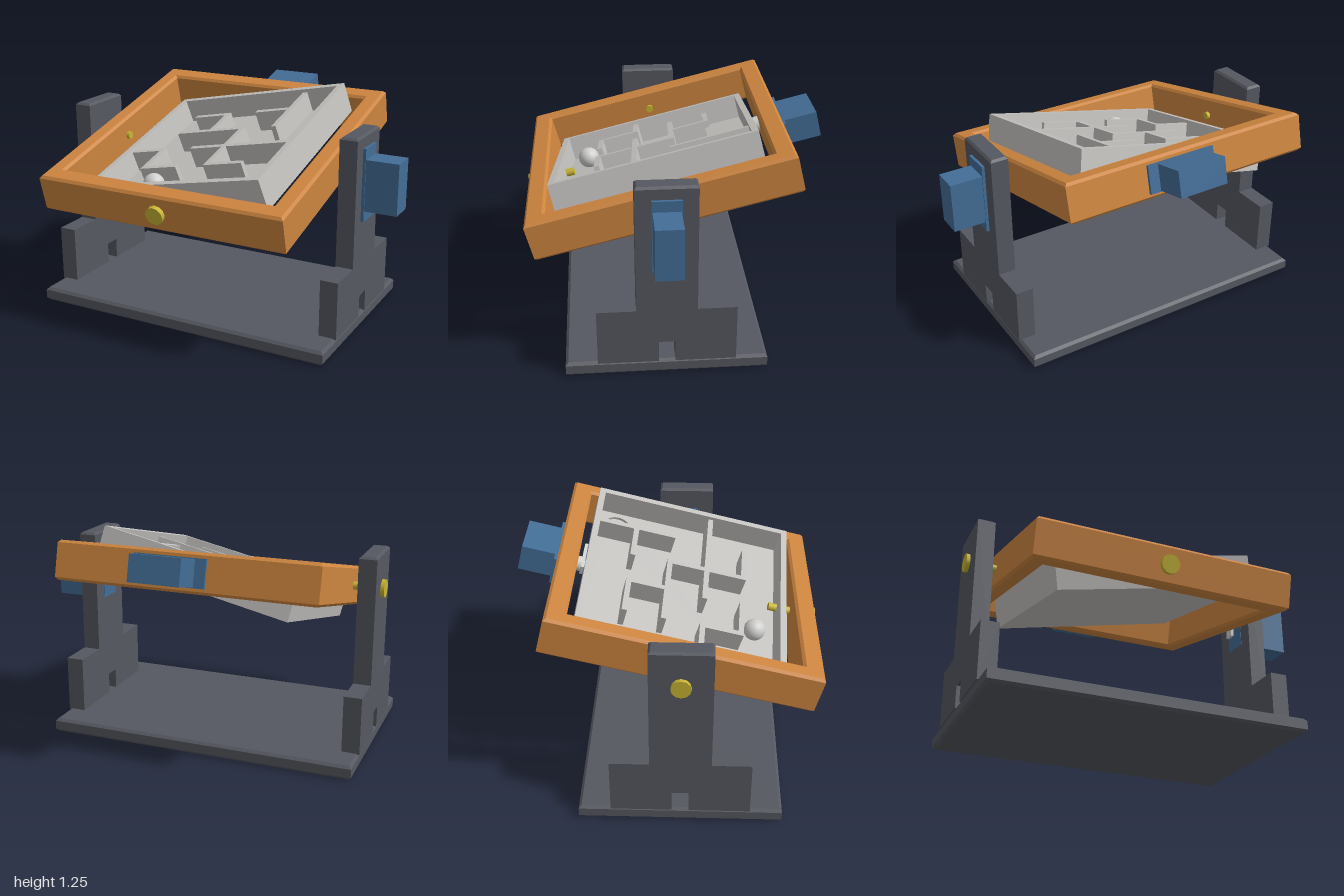
import * as THREE from 'three';

const mat = (name, color) => Object.assign(new THREE.MeshStandardMaterial({ color }), { name });

const CX = -0.0875, CY = 0.915, CZ = 0.0875; // gimbal centre

export function createModel() {
  const charcoal = mat('charcoal', 0x555860);
  const orange = mat('orange', 0xcd853f);
  const grey = mat('lightGrey', 0xc4c2bf);
  const blue = mat('blue', 0x436d96);
  const brass = mat('brass', 0xc8b432);
  const steel = mat('steel', 0xcfcfcd);
  const model = new THREE.Group();

  const add = (parent, name, geo, material, x = 0, y = 0, z = 0) => {
    const m = new THREE.Mesh(geo, material);
    m.name = name;
    m.position.set(x, y, z);
    parent.add(m);
    return m;
  };
  const group = (parent, name) => {
    const g = new THREE.Group();
    g.name = name;
    parent.add(g);
    return g;
  };
  const box = (w, h, d) => new THREE.BoxGeometry(w, h, d);
  const rect = (hw, hd, Type = THREE.Shape) => new Type([
    new THREE.Vector2(-hw, -hd), new THREE.Vector2(hw, -hd),
    new THREE.Vector2(hw, hd), new THREE.Vector2(-hw, hd)]);

  // Chamfered slab lying flat, with an optional rectangular opening
  const slab = (w, h, d, b, hole) => {
    const s = rect(w / 2 - b, d / 2 - b);
    if (hole) s.holes.push(rect(hole[0] / 2 + b, hole[1] / 2 + b, THREE.Path));
    return new THREE.ExtrudeGeometry(s, {
      depth: h - 2 * b, bevelEnabled: true, bevelSize: b, bevelThickness: b, bevelSegments: 1,
    }).rotateX(-Math.PI / 2).center();
  };
  // Cylinder along the z axis
  const rod = (r, len, sides = 20) => new THREE.CylinderGeometry(r, r, len, sides).rotateX(Math.PI / 2);

  // Base plate
  add(model, 'basePlate', slab(1.775, 0.08, 1.09, 0.015), charcoal, -0.09, 0.04, CZ);

  // Two uprights: a wide foot with a cable slot and a tall column
  const foot = new THREE.Shape();
  [[-0.372, 0.075], [-0.045, 0.075], [-0.045, 0.2], [0.045, 0.2], [0.045, 0.075],
    [0.372, 0.075], [0.372, 0.4], [-0.372, 0.4]]
    .forEach(([x, y], i) => (i ? foot.lineTo(x, y) : foot.moveTo(x, y)));
  const footGeo = new THREE.ExtrudeGeometry(foot, { depth: 0.1, bevelEnabled: false })
    .translate(0, 0, -0.05).rotateY(Math.PI / 2);
  for (const [side, x] of [['right', -0.93], ['left', 0.75]]) {
    const upright = group(model, side + 'Upright');
    add(upright, 'foot', footGeo, charcoal, x, 0, CZ);
    add(upright, 'column', slab(0.1, 0.76, 0.324, 0.012), charcoal, x, 0.74, CZ);
  }

  // Servo: built with its shaft along +z and its body offset along +x
  const servo = (parent, name) => {
    const g = group(parent, name);
    add(g, 'servoBody', box(0.285, 0.145, 0.3), blue, 0.068, 0, -0.05);
    add(g, 'servoFlange', box(0.405, 0.155, 0.018), blue, 0.068, 0, -0.009);
    return g;
  };
  const horn = (parent) => {
    const g = group(parent, 'servoHorn');
    add(g, 'hornArm', box(0.19, 0.055, 0.018), steel, 0.045, 0, 0);
    add(g, 'hornHub', rod(0.042, 0.03), steel, 0, 0, -0.018);
    add(g, 'hornShaft', rod(0.025, 0.12), steel, 0, 0, -0.04);
    return g;
  };
  // Pivot bolt: head at the origin, shaft running along -z
  const bolt = (parent, name, len) => {
    const g = group(parent, name);
    add(g, 'boltHead', rod(0.052, 0.026, 12), brass, 0, 0, 0.013);
    add(g, 'boltShaft', rod(0.022, len), brass, 0, 0, -len / 2);
    return g;
  };

  // Outer pivot hardware on the uprights
  const sideServo = servo(model, 'sideServo');
  sideServo.position.set(0.798, CY, CZ);
  sideServo.rotation.set(0, -Math.PI / 2, -Math.PI / 2, 'ZYX');
  sideServo.matrixAutoUpdate = true;
  // Local x points down, local z points inward
  const inward = new THREE.Matrix4().makeBasis(
    new THREE.Vector3(0, -1, 0), new THREE.Vector3(0, 0, 1), new THREE.Vector3(-1, 0, 0));
  sideServo.quaternion.setFromRotationMatrix(inward);
  const sideHorn = horn(model);
  sideHorn.position.set(0.667, CY, CZ);
  sideHorn.quaternion.copy(sideServo.quaternion);
  const sideBolt = bolt(model, 'sideBolt', 0.27);
  sideBolt.position.set(-0.975, CY, CZ);
  sideBolt.rotation.y = -Math.PI / 2;

  // Outer frame, tilted down towards the front
  const frame = group(model, 'tiltingFrame');
  frame.position.set(CX, CY, CZ);
  frame.rotation.x = THREE.MathUtils.degToRad(14);
  add(frame, 'frameRing', slab(1.468, 0.216, 1.448, 0.014, [1.272, 1.225]), orange);
  const backServo = servo(frame, 'backServo');
  backServo.position.z = -0.722;
  bolt(frame, 'frontBolt', 0.235).position.z = 0.724;

  // Inner tray, tilted sideways inside the frame
  const tray = group(frame, 'mazeTray');
  tray.rotation.z = THREE.MathUtils.degToRad(12);
  const W = 1.14, T = 0.035, FLOOR = -0.05;
  horn(tray).position.z = -0.582;

  // Floor with two shallow round pockets
  const pockets = rect(W / 2, W / 2);
  for (const [x, z, r] of [[-0.428, 0.415, 0.058], [0.428, -0.428, 0.075]]) {
    const p = new THREE.Path();
    p.absarc(x, -z, r, 0, Math.PI * 2, true);
    pockets.holes.push(p);
  }
  add(tray, 'floorBottom', box(W, 0.025, W), grey, 0, -0.0775, 0);
  add(tray, 'floorTop', new THREE.ExtrudeGeometry(pockets, {
    depth: 0.015, bevelEnabled: false, curveSegments: 24,
  }).rotateX(-Math.PI / 2), grey, 0, FLOOR - 0.015, 0);

  // Rim
  const rim = rect(W / 2, W / 2);
  rim.holes.push(rect(W / 2 - T, W / 2 - T, THREE.Path));
  add(tray, 'rim', new THREE.ExtrudeGeometry(rim, { depth: 0.14, bevelEnabled: false })
    .rotateX(-Math.PI / 2), grey, 0, FLOOR, 0);

  // Maze walls on a five by five grid: from x, z to x, z
  const cell = (W - 2 * T) / 5, H = 0.12;
  const walls = [
    [1, 1, 2, 1], [2, 1, 2, 2], [1, 2, 3, 2], [3, 2, 3, 4], [2, 3, 5, 3], [3, 4, 4, 4],
    [0, 3, 1, 3], [1, 3, 1, 4], [1, 4, 2, 4], [3, 1, 4, 1], [4, 0, 4, 2],
  ];
  for (const [x0, z0, x1, z1] of walls) {
    add(tray, 'mazeWall', box((x1 - x0) * cell + 0.03, H, (z1 - z0) * cell + 0.03), grey,
      ((x0 + x1) / 2 - 2.5) * cell, FLOOR + H / 2, ((z0 + z1) / 2 - 2.5) * cell);
  }

  // Ball
  add(tray, 'ball', new THREE.SphereGeometry(0.06, 32, 20), steel, -0.214, FLOOR + 0.06, 0.41);

  return model;
}
